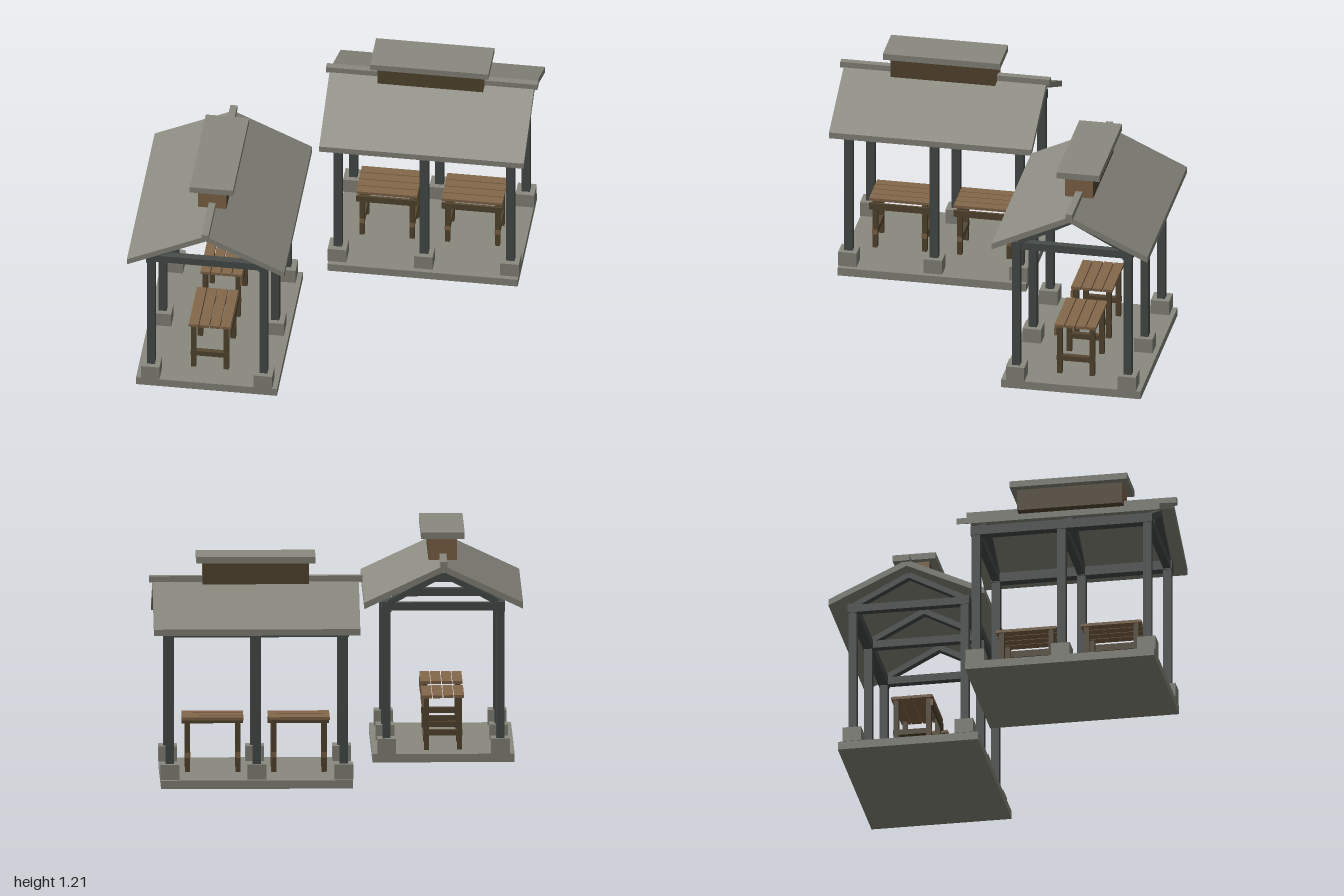
import * as THREE from 'three';

const mat = (name, color) => {
  const m = new THREE.MeshStandardMaterial({ color });
  m.name = name;
  return m;
};

export function createModel() {
  const stone = mat('grey stone', 0x8a8a80);
  const steel = mat('dark slate timber', 0x484e4b);
  const wood = mat('light wood', 0x84684a);
  const darkWood = mat('dark wood', 0x574832);

  // Board materials: dark sides with light ends along x or z
  const endsX = [wood, wood, darkWood, darkWood, darkWood, darkWood];
  const endsZ = [darkWood, darkWood, darkWood, darkWood, wood, wood];

  function box(parent, name, material, w, h, d, x, y, z) {
    const mesh = new THREE.Mesh(new THREE.BoxGeometry(w, h, d), material);
    mesh.name = name;
    mesh.position.set(x, y, z);
    parent.add(mesh);
    return mesh;
  }

  function table(x) {
    const g = new THREE.Group();
    g.name = 'table';
    g.position.x = x;
    // Plank top
    for (let i = 0; i < 4; i++) {
      box(g, 'topPlank', wood, 0.326, 0.016, 0.052, 0, 0.333, -0.0855 + i * 0.057);
    }
    // Legs and low stretchers
    for (const sx of [-1, 1]) {
      for (const sz of [-1, 1]) {
        box(g, 'tableLeg', darkWood, 0.027, 0.281, 0.027, sx * 0.134, 0.1855, sz * 0.088);
      }
      box(g, 'stretcher', endsZ, 0.0275, 0.03, 0.205, sx * 0.134, 0.137, 0);
    }
    // Apron board along the front
    box(g, 'apron', endsX, 0.326, 0.037, 0.013, 0, 0.293, 0.1075);
    return g;
  }

  function pavilion(name) {
    const g = new THREE.Group();
    g.name = name;
    box(g, 'floorSlab', stone, 1.02, 0.045, 0.756, 0, 0.0225, 0);

    // Three bays of footings, posts and trusses
    for (const x of [-0.4625, 0, 0.4625]) {
      for (const s of [-1, 1]) {
        box(g, 'footing', stone, 0.1, 0.081, 0.1, x, 0.0855, s * 0.302);
        box(g, 'post', steel, 0.046, 0.7, 0.043, x, 0.47, s * 0.302);
        // Sloping rafter from the eave beam to the apex
        const run = 0.29, rise = 0.152;
        const rafter = box(g, 'rafter', steel, 0.04, 0.03, Math.hypot(run, rise),
          x, 0.855 + rise / 2, s * run / 2);
        rafter.rotation.x = s * Math.atan2(rise, run);
      }
      box(g, 'tieBeam', steel, 0.04, 0.042, 0.6, x, 0.834, 0);
    }
    for (const s of [-1, 1]) {
      box(g, 'eaveBeam', steel, 0.98, 0.052, 0.052, 0, 0.834, s * 0.302);
    }

    // Folded roof with plumb-cut eaves
    const profile = new THREE.Shape([
      [-0.422, 0.832], [0, 1.03], [0.422, 0.832],
      [0.422, 0.866], [0, 1.064], [-0.422, 0.866],
    ].map(([a, b]) => new THREE.Vector2(a, b)));
    const roofGeo = new THREE.ExtrudeGeometry(profile, { depth: 1.097, bevelEnabled: false });
    roofGeo.translate(0, 0, -0.5485).rotateY(Math.PI / 2);
    const roof = new THREE.Mesh(roofGeo, stone);
    roof.name = 'roof';
    g.add(roof);
    box(g, 'ridgeBeam', stone, 1.134, 0.034, 0.037, 0, 1.07, 0);

    // Raised roof vent
    box(g, 'ventBox', endsX, 0.566, 0.12, 0.152, 0, 1.112, 0);
    box(g, 'ventCap', stone, 0.634, 0.035, 0.232, 0, 1.188, 0);

    g.add(table(-0.229), table(0.229));
    return g;
  }

  const model = new THREE.Group();
  model.name = 'pavilions';
  const left = pavilion('backPavilion');
  left.position.set(0.43, 0, -0.559);
  const right = pavilion('frontPavilion');
  right.position.set(-0.578, 0, 0.417);
  right.rotation.y = Math.PI / 2;
  model.add(left, right);
  return model;
}
